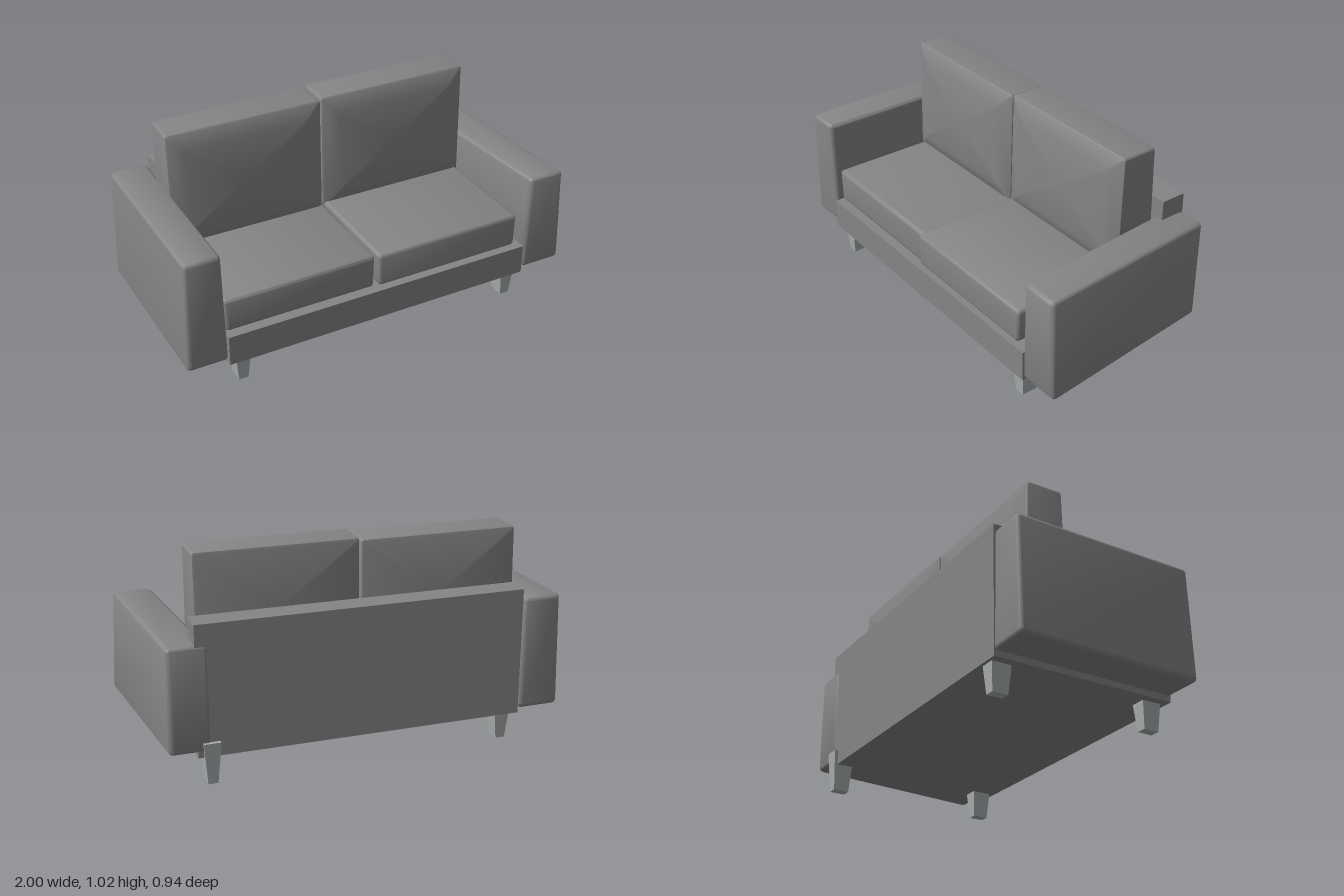
import * as THREE from 'three';
import { toCreasedNormals } from 'three/addons/utils/BufferGeometryUtils.js';
import { RoundedBoxGeometry } from 'three/addons/geometries/RoundedBoxGeometry.js';

const fabric = new THREE.MeshStandardMaterial({ color: 0x858585 });
fabric.name = 'grey fabric';
const metal = new THREE.MeshStandardMaterial({ color: 0xa9afae });
metal.name = 'pale leg';

// Moves every vertex by a rule, then rebuilds normals
function warp(geo, rule, crease = 0.9) {
  const p = geo.attributes.position, v = new THREE.Vector3();
  for (let i = 0; i < p.count; i++) {
    rule(v.fromBufferAttribute(p, i));
    p.setXYZ(i, v.x, v.y, v.z);
  }
  return toCreasedNormals(geo, crease);
}

// Outline of a rectangle with small rounded corners, counter-clockwise
function roundedRect(hw, hh, r, steps = 3) {
  const pts = [];
  for (let c = 0; c < 4; c++) {
    const sx = c === 0 || c === 3 ? 1 : -1, sy = c < 2 ? 1 : -1;
    for (let s = 0; s <= steps; s++) {
      const a = (c + s / steps) * Math.PI / 2;
      pts.push([sx * (hw - r) + Math.cos(a) * r, sy * (hh - r) + Math.sin(a) * r]);
    }
  }
  return pts;
}

// Pillow lofted from back to front; each ring is [inset, z]
function pillow(w, h, rings) {
  const pos = [], idx = [];
  const n = 16;
  rings.forEach(([inset, z]) => {
    for (const [x, y] of roundedRect(w / 2 - inset, h / 2 - inset, 0.012)) pos.push(x, y, z);
  });
  const back = rings.length * n, front = back + 1, last = (rings.length - 1) * n;
  pos.push(0, 0, rings[0][1], 0, 0, rings[rings.length - 1][1]);
  for (let j = 0; j < n; j++) {
    const k = (j + 1) % n;
    for (let i = 0; i < rings.length - 1; i++) {
      const a = i * n + j, b = i * n + k;
      idx.push(a, b, b + n, a, b + n, a + n);
    }
    idx.push(back, k, j, front, last + j, last + k);
  }
  const geo = new THREE.BufferGeometry();
  geo.setAttribute('position', new THREE.Float32BufferAttribute(pos, 3));
  geo.setIndex(idx);
  return geo;
}

export function createModel() {
  const sofa = new THREE.Group();
  sofa.name = 'sofa';
  const add = (name, geo, mat = fabric) => {
    const mesh = new THREE.Mesh(geo, mat);
    mesh.name = name;
    sofa.add(mesh);
    return mesh;
  };
  const box = (name, x0, x1, y0, y1, z0, z1) =>
    add(name, new THREE.BoxGeometry(x1 - x0, y1 - y0, z1 - z0))
      .position.set((x0 + x1) / 2, (y0 + y1) / 2, (z0 + z1) / 2);

  // Frame
  box('baseFrame', -0.79, 0.78, 0.13, 0.28, -0.45, 0.463);
  box('backFrame', -0.79, 0.78, 0.28, 0.75, -0.45, -0.325);

  // Arms: rounded blocks, wider at the foot and skewed along z
  const arm = (name, y0, y1, z0, z1, inner, outer) => {
    const geo = new RoundedBoxGeometry(0.2, y1 - y0, z1 - z0, 3, 0.022);
    add(name, warp(geo, v => {
      const u = v.x / 0.2 + 0.5;
      v.y += (y0 + y1) / 2;
      v.z += (z0 + z1) / 2;
      const t = (v.y - y0) / (y1 - y0), s = (v.z - z0) / (z1 - z0);
      v.x = THREE.MathUtils.lerp(inner(t, s), outer(t, s), u);
    }));
  };
  arm('leftArm', 0.155, 0.655, -0.455, 0.468,
    (t, s) => 0.715 + 0.07 * s + 0.005 * t,
    (t, s) => 0.908 + 0.092 * s - 0.025 * t * s);
  arm('rightArm', 0.15, 0.71, -0.455, 0.455,
    (t, s) => -1.0 + 0.012 * s + 0.018 * t,
    (t, s) => -0.79 - 0.01 * t);

  // Seat cushions
  const seat = (name, x0, x1, y0, y1, z1) => {
    const w = x1 - x0, h = y1 - y0, d = z1 + 0.31;
    const geo = new RoundedBoxGeometry(w, h, d, 3, 0.018);
    add(name, warp(geo, v => { v.x *= 1 - 0.012 * (0.5 - v.y / h); }))
      .position.set((x0 + x1) / 2, (y0 + y1) / 2, z1 - d / 2);
  };
  seat('rightSeatCushion', -0.79, -0.033, 0.283, 0.452, 0.425);
  seat('leftSeatCushion', -0.03, 0.735, 0.298, 0.467, 0.453);

  // Back cushions: puffed front panel, thinner towards the top
  const rings = [[0.015, -0.11], [0.004, -0.106], [0, -0.095], [0, 0.08],
    [0.008, 0.087], [0.08, 0.11]];
  const backCushion = (name, x0, x1, y0, y1) => {
    const h = y1 - y0;
    const geo = warp(pillow(x1 - x0, h, rings), v => {
      v.z *= 1 - 0.14 * (v.y / h);
    }, 0.6);
    add(name, geo).position.set((x0 + x1) / 2, (y0 + y1) / 2, -0.187);
  };
  backCushion('rightBackCushion', -0.813, -0.04, 0.43, 1.013);
  backCushion('leftBackCushion', -0.033, 0.743, 0.44, 1.023);

  // Tapered legs; the left back one is taller and overlaps the frame
  const leg = (name, x, z, h, topX, topZ) => {
    const geo = new THREE.BoxGeometry(1, h, 1);
    add(name, warp(geo, v => {
      const top = v.y > 0;
      v.x *= top ? topX : 0.046;
      v.z *= top ? topZ : 0.076;
    }, 0.3), metal).position.set(x, h / 2, z);
  };
  leg('rightFrontLeg', -0.714, 0.388, 0.131, 0.072, 0.096);
  leg('leftFrontLeg', 0.716, 0.388, 0.131, 0.072, 0.096);
  leg('rightBackLeg', -0.714, -0.387, 0.131, 0.072, 0.096);
  leg('leftBackLeg', 0.718, -0.417, 0.2, 0.08, 0.105);

  return sofa;
}
